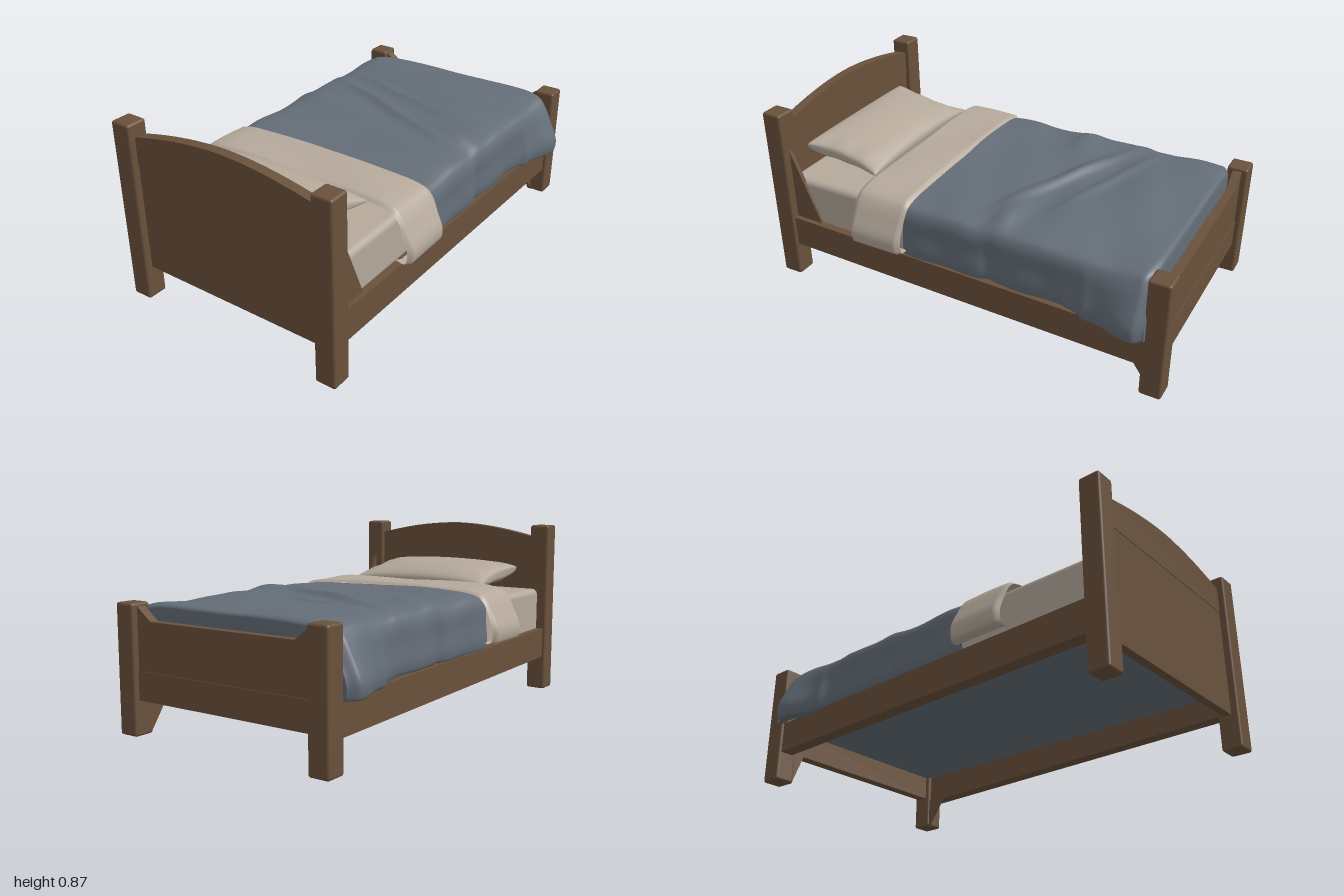
import * as THREE from 'three';
import { RoundedBoxGeometry } from 'three/addons/geometries/RoundedBoxGeometry.js';
import { ParametricGeometry } from 'three/addons/geometries/ParametricGeometry.js';

const paint = (name, color, side = THREE.FrontSide) => {
  const m = new THREE.MeshStandardMaterial({ color, side });
  m.name = name;
  return m;
};
const smooth = THREE.MathUtils.smoothstep;
const bell = (d, w) => Math.exp(-(d * d) / (w * w));

export function createModel() {
  const bed = new THREE.Group();
  bed.name = 'bed';
  const wood = paint('brown wood', 0x69513b);
  const linen = paint('cream linen', 0xb5a99b, THREE.DoubleSide);
  const wool = paint('blue grey wool', 0x646d77, THREE.DoubleSide);

  const add = (name, geometry, material, x = 0, y = 0, z = 0) => {
    const mesh = new THREE.Mesh(geometry, material);
    mesh.name = name;
    mesh.position.set(x, y, z);
    bed.add(mesh);
    return mesh;
  };
  const block = (name, material, x0, x1, y0, y1, z0, z1, r) =>
    add(name, new RoundedBoxGeometry(x1 - x0, y1 - y0, z1 - z0, 3, r), material,
      (x0 + x1) / 2, (y0 + y1) / 2, (z0 + z1) / 2);
  const extrude = (points, depth) => new THREE.ExtrudeGeometry(
    new THREE.Shape(points.map(([x, y]) => new THREE.Vector2(x, y))),
    { depth, bevelEnabled: false });
  // Board across the bed, outlined in z and y
  const crossBoard = (name, points, x0, x1) =>
    add(name, extrude(points, x1 - x0).rotateY(Math.PI / 2), wood, x0);
  // Board along the bed, outlined in x and y
  const longBoard = (name, points, z0, z1) => add(name, extrude(points, z1 - z0), wood, 0, 0, z0);

  // Four corner posts
  for (const s of [-1, 1]) {
    const z0 = s * 0.52 - 0.05, z1 = s * 0.52 + 0.05;
    block('headPost', wood, -1, -0.9, 0, 0.87, z0, z1, 0.012);
    block('footPost', wood, 0.9, 1, 0, 0.583, z0, z1, 0.012);
  }

  // Arched headboard with a slightly thicker top
  const arch = [];
  for (let i = 0; i <= 24; i++) {
    const t = i / 12 - 1;
    arch.push([-0.48 * t, 0.873 - 0.068 * Math.abs(t) ** 1.8]);
  }
  crossBoard('headboardPanel', [[-0.48, 0.16], [0.48, 0.16], [0.48, 0.69], [-0.48, 0.69]], -0.965, -0.926);
  crossBoard('headboardArch', [[-0.48, 0.68], [0.48, 0.68], ...arch], -0.968, -0.922);

  // Footboard with corners rising to the posts
  crossBoard('footboardPanel', [[-0.48, 0.28], [0.48, 0.28], [0.48, 0.575], [0.465, 0.565],
    [0.39, 0.508], [-0.39, 0.508], [-0.465, 0.565], [-0.48, 0.575]], 0.928, 0.97);
  crossBoard('footRail', [[-0.48, 0.16], [0.48, 0.16], [0.48, 0.29], [-0.48, 0.29]], 0.922, 0.974);

  // Sloping side rails
  for (const s of [-1, 1]) {
    longBoard(s > 0 ? 'leftSideRail' : 'rightSideRail',
      [[-0.92, 0.175], [0.92, 0.14], [0.92, 0.288], [-0.92, 0.325]], s * 0.523 - 0.032, s * 0.523 + 0.032);
  }

  // Thin brackets set back beside the posts
  longBoard('headBracket', [[-0.905, 0.31], [-0.75, 0.31], [-0.9, 0.675]], 0.512, 0.532);
  longBoard('footBracket', [[0.8, 0.15], [0.905, 0], [0.905, 0.15]], 0.48, 0.495);
  crossBoard('footRailBracket', [[0.475, 0], [0.475, 0.17], [0.41, 0.17]], 0.905, 0.925);

  // Base and mattress
  block('base', wool, -0.925, 0.925, 0.28, 0.31, -0.5, 0.5, 0.005);
  block('mattress', linen, -0.92, 0.87, 0.3, 0.535, -0.52, 0.52, 0.03);

  // Cloth draped over the mattress: half cross-section in z and y, mirrored
  const drape = new THREE.CatmullRomCurve3([[0, 0.577], [0.2, 0.579], [0.36, 0.576], [0.46, 0.568],
    [0.52, 0.548], [0.541, 0.51], [0.546, 0.43], [0.552, 0.34], [0.54, 0.305], [0.49, 0.308]]
    .map(([z, y]) => new THREE.Vector3(0, y, z)));
  const cloth = (name, material, rule, nu) => {
    const g = new ParametricGeometry((u, v, out) => {
      const s = 2 * v - 1;
      const p = drape.getPoint(Math.abs(s));
      rule(u, Math.sign(s) * p.z, p.y, out);
    }, nu, 110);
    g.computeVertexNormals();
    add(name, g, material);
  };

  cloth('blanket', wool, (u, z, y, out) => {
    // The last rows round over and close the foot end
    let x = -0.27 + 1.15 * Math.min(u / 0.93, 1);
    const e = Math.max(0, (u - 0.93) / 0.07);
    x += 0.03 * Math.sin(Math.min(e * 2, 1) * Math.PI / 2);
    const hang = smooth(0.56 - y, 0, 0.2);
    const top = 1 - hang;
    const flare = 0.026 * smooth(x, 0.58, 0.64) + 0.044 * smooth(x, 0.64, 0.84);
    const tuck = 0.035 * smooth(x, 0.868, 0.91);
    const ridge = 0.026 * bell(x - 0.27 + 0.42 * z, 0.035) * bell(z + 0.05, 0.35)
      + 0.014 * bell(x - 0.44 + 0.3 * z, 0.03) * bell(z + 0.1, 0.3)
      + 0.028 * bell(x - 0.19, 0.06) * bell(z - 0.4, 0.14)
      + 0.016 * bell(x - 0.2, 0.06) * bell(z + 0.42, 0.12)
      + 0.014 * bell(x - 0.4, 0.08) * bell(z - 0.3, 0.2)
      + 0.014 * bell(x - 0.7, 0.15) * bell(z - 0.1, 0.25);
    const ripple = 0.004 * Math.sin(13 * x + 5 * z) + 0.003 * Math.sin(21 * x - 9 * z);
    let h = y + top * (ridge + ripple) - 0.018 * hang * smooth(x, 0.5, 0.65);
    h = 0.29 + (h - 0.29) * (e < 0.5 ? 1 - 0.3 * e * e : 0.925 * (1 - (e - 0.5) * 2));
    const side = hang * (flare + 0.004 * Math.sin(24 * x) - 0.012 * bell(x - 0.16, 0.03)) - tuck * Math.abs(z) / 0.55;
    out.set(x, h, z + Math.sign(z) * side);
  }, 130);

  cloth('foldedSheet', linen, (u, z, y, out) => {
    // Both hems curl in to meet the cloth below
    const hem = smooth(Math.abs(2 * u - 1), 0.86, 1);
    const x = -0.52 + 0.27 * u;
    const hang = smooth(0.57 - y, 0, 0.22);
    const lift = 0.014 * (1 - hem) + 0.003 * Math.sin(17 * x + 8 * z);
    const h = y + lift * (1 - hang) + 0.035 * hang;
    out.set(x + 0.01 * Math.sin(z * 7) * hang, h, z + Math.sign(z) * hang * (0.062 - 0.02 * hem));
  }, 30);

  // Plump pillow leaning toward the headboard, its underside settled on the mattress
  const pillow = new THREE.Group();
  pillow.name = 'pillow';
  for (const s of [1, -1]) {
    const g = new ParametricGeometry((u, v, out) => {
      const a = Math.sin((u - 0.5) * Math.PI), b = Math.sin((v - 0.5) * Math.PI);
      const puff = Math.pow(Math.max(0, (1 - a * a) * (1 - b * b)), s > 0 ? 0.36 : 0.25);
      const depth = s > 0 ? 0.066 : -0.068 + 0.034 * a;
      const crease = 0.005 * Math.sin(a * 9 + b * 4) * bell(Math.abs(b) - 0.9, 0.15) * puff;
      out.set(a * 0.198 * (1 - 0.04 * (1 - b * b)), depth * puff + crease,
        b * 0.39 * (1 - 0.07 * (1 - a * a)));
    }, 36, 48);
    g.computeVertexNormals();
    const half = new THREE.Mesh(g, linen);
    half.name = s > 0 ? 'pillowTop' : 'pillowUnderside';
    pillow.add(half);
  }
  pillow.position.set(-0.717, 0.611, 0);
  pillow.rotation.z = -0.17;
  bed.add(pillow);

  return bed;
}
